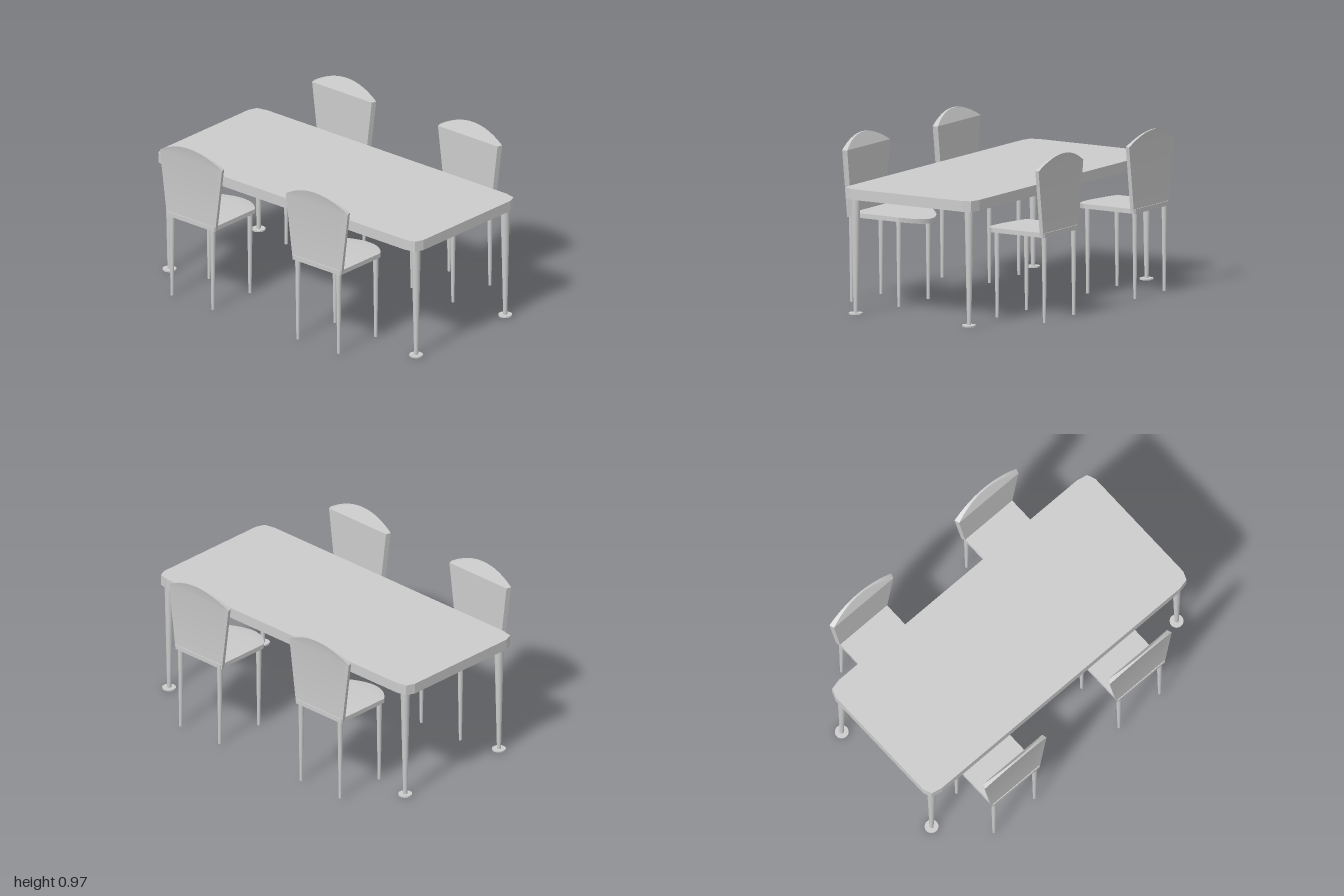
import * as THREE from 'three';
import { toCreasedNormals } from 'three/addons/utils/BufferGeometryUtils.js';

const material = new THREE.MeshStandardMaterial({ color: 0xcccccc });

function part(name, geometry, parent, x = 0, y = 0, z = 0) {
  const mesh = new THREE.Mesh(geometry, material);
  mesh.name = name;
  mesh.position.set(x, y, z);
  parent.add(mesh);
  return mesh;
}

// Unit box with a subdivided grid, each vertex moved by a rule
function shapedBox(segments, rule) {
  const geometry = new THREE.BoxGeometry(1, 1, 1, ...segments);
  const p = geometry.attributes.position;
  for (let i = 0; i < p.count; i++) {
    p.setXYZ(i, ...rule(p.getX(i), p.getY(i), p.getZ(i)));
  }
  return toCreasedNormals(geometry, 0.3);
}

const arc = (t) => 1 - 4 * t * t; // 1 in the middle, 0 at t = +-0.5

// Tapered leg standing on y = bottom
function leg(rTop, rBottom, bottom, top) {
  return new THREE.CylinderGeometry(rTop, rBottom, top - bottom, 16)
    .translate(0, (top + bottom) / 2, 0);
}

// Seat: flat slab whose rounded front lip slopes down
const seatGeometry = shapedBox([2, 1, 20], (x, y, z) => {
  const lip = x < -0.25 ? arc(z) : 0;
  const px = x > 0.25 ? 0.675 : 0.32 - 0.11 * lip;
  return [px, (y > 0 ? 0.527 : 0.5) - 0.02 * lip, z * 0.36];
});

// Backrest: widens upward, its arched crown leans outward
const backGeometry = shapedBox([1, 2, 20], (x, y, z) => {
  const crown = y > 0.25 ? arc(z) : 0;
  const outer = x > 0;
  const width = (y < -0.25 ? 0.37 : 0.475) * (outer ? 1 : 0.96);
  const px = outer ? 0.67 + 0.016 * crown : 0.641 + 0.034 * crown;
  return [px, (y < -0.25 ? 0.499 : 0.895) + 0.075 * crown, z * width];
});

const chairLegGeometry = leg(0.016, 0.009, 0.003, 0.505);

function createChair(name) {
  const chair = new THREE.Group();
  chair.name = name;
  part('seat', seatGeometry, chair);
  part('backrest', backGeometry, chair);
  for (const z of [-0.156, 0.156]) {
    part('frontLeg', chairLegGeometry, chair, 0.335, 0, z);
    part('rearLeg', chairLegGeometry, chair, 0.657, 0, z);
  }
  return chair;
}

function createTable() {
  const table = new THREE.Group();
  table.name = 'table';
  table.position.x = -0.017;

  // Top with softly clipped corners
  const hx = 0.443, hz = 1;
  const corner = [[hx, hz - 0.085], [hx - 0.014, hz - 0.02], [hx - 0.065, hz]];
  const outline = [];
  for (const [sx, sz] of [[1, 1], [-1, 1], [-1, -1], [1, -1]]) {
    const points = sx * sz > 0 ? corner : [...corner].reverse();
    for (const [x, z] of points) outline.push(new THREE.Vector2(sx * x, sz * z));
  }
  const topGeometry = new THREE.ExtrudeGeometry(new THREE.Shape(outline), {
    depth: 0.063, bevelEnabled: false,
  }).rotateX(-Math.PI / 2);
  part('tableTop', topGeometry, table, 0, 0.681, 0);

  // Tapered legs on small round feet
  const legGeometry = leg(0.027, 0.012, 0.012, 0.685);
  const footGeometry = new THREE.CylinderGeometry(0.04, 0.04, 0.009, 24);
  for (const x of [-0.38, 0.394]) {
    for (const z of [-0.938, 0.947]) {
      part('tableLeg', legGeometry, table, x, 0, z);
      part('tableFoot', footGeometry, table, x, 0.012, z);
    }
  }
  return table;
}

export function createModel() {
  const model = new THREE.Group();
  model.name = 'diningSet';
  model.add(createTable());
  for (const z of [-0.534, 0.428]) {
    const leftChair = createChair('leftChair');
    leftChair.position.z = z;
    const rightChair = createChair('rightChair');
    rightChair.position.z = z;
    rightChair.rotation.y = Math.PI;
    model.add(leftChair, rightChair);
  }
  return model;
}
